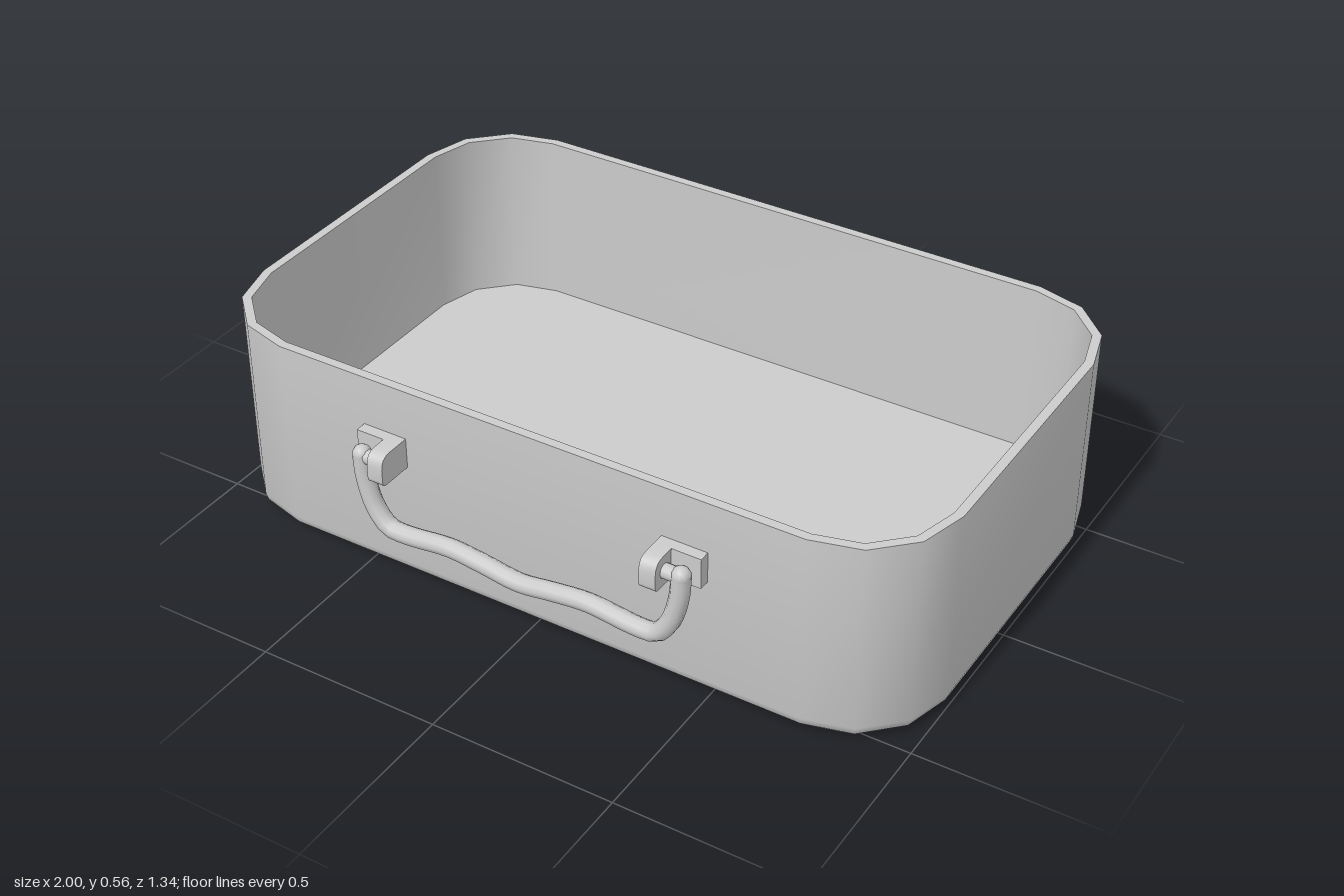
import * as THREE from 'three';
import { toCreasedNormals } from 'three/addons/utils/BufferGeometryUtils.js';

const material = new THREE.MeshStandardMaterial({ color: 0xcccccc });
const HEIGHT = 0.565, WALL = 0.025, FLOOR = 0.08, RADIUS = 0.26;
const FRONT = 0.57, CENTRE_Z = -0.05;

function addMesh(parent, geometry, name) {
  const mesh = new THREE.Mesh(geometry, material);
  mesh.name = name;
  parent.add(mesh);
  return mesh;
}

// Rounded rectangle with three facets per corner, shrunk by an inset
function outline(inset, y) {
  const points = [];
  const corners = [[1, 1], [-1, 1], [-1, -1], [1, -1]];
  corners.forEach(([sx, sz], c) => {
    for (let i = 0; i <= 3; i++) {
      const a = (c + i / 3) * Math.PI / 2, r = RADIUS - inset;
      points.push([sx * (1 - RADIUS) + r * Math.cos(a), y,
        CENTRE_Z + sz * (0.62 - RADIUS) + r * Math.sin(a)]);
    }
  });
  return points;
}

// Skin from the underside, up the outside, over the rim and down to the floor
function trayGeometry() {
  const rings = [[0.04, 0], [0.02, 0.006], [0.006, 0.02], [0, 0.04],
    [0, HEIGHT], [WALL, HEIGHT], [WALL, FLOOR]].map(([inset, y]) => outline(inset, y));
  const n = rings[0].length;
  const positions = rings.flat(2);
  const index = [];
  for (let r = 0; r < rings.length - 1; r++) {
    for (let i = 0; i < n; i++) {
      const a = r * n + i, b = r * n + (i + 1) % n;
      index.push(a, a + n, b, b, a + n, b + n);
    }
  }
  const under = positions.length / 3, floor = under + 1;
  positions.push(0, 0, CENTRE_Z, 0, FLOOR, CENTRE_Z);
  const last = (rings.length - 1) * n;
  for (let i = 0; i < n; i++) {
    const j = (i + 1) % n;
    index.push(under, i, j, floor, last + j, last + i);
  }
  const geometry = new THREE.BufferGeometry();
  geometry.setAttribute('position', new THREE.Float32BufferAttribute(positions, 3));
  geometry.setIndex(index);
  return toCreasedNormals(geometry, 0.75);
}

// Bracket arm: side profile (depth, height) with rounded front corners
function armGeometry(width) {
  const s = new THREE.Shape();
  s.moveTo(0, 0.34);
  s.lineTo(0.085, 0.34);
  s.quadraticCurveTo(0.1, 0.34, 0.1, 0.355);
  s.lineTo(0.1, 0.39);
  s.quadraticCurveTo(0.1, 0.425, 0.065, 0.425);
  s.lineTo(0, 0.425);
  const geometry = new THREE.ExtrudeGeometry(s, { depth: width, bevelEnabled: false, curveSegments: 4 });
  geometry.rotateY(-Math.PI / 2);
  return toCreasedNormals(geometry, 0.7);
}

export function createModel() {
  const model = new THREE.Group();
  model.name = 'tray';
  addMesh(model, trayGeometry(), 'trayBody');

  // Brackets with a pivot pin on each side of the handle
  const handleZ = 0.63;
  for (const side of [1, -1]) {
    const bracket = new THREE.Group();
    bracket.name = side > 0 ? 'leftBracket' : 'rightBracket';
    const plate = addMesh(bracket, new THREE.BoxGeometry(0.125, 0.085, 0.03), 'bracketPlate');
    plate.position.set(side * 0.4275, 0.3825, FRONT + 0.015);
    const arm = addMesh(bracket, armGeometry(0.045), 'bracketArm');
    arm.position.set(side > 0 ? 0.41 : -0.365, 0, FRONT);
    const pin = addMesh(bracket, new THREE.CylinderGeometry(0.02, 0.02, 0.05, 10), 'pivotPin');
    pin.rotation.z = Math.PI / 2;
    pin.position.set(side * 0.425, 0.382, handleZ);
    model.add(bracket);
  }

  // Swinging bail handle with a wavy grip
  const half = [[0.455, 0.385], [0.45, 0.32], [0.425, 0.235], [0.385, 0.188], [0.33, 0.184], [0.2, 0.197], [0.1, 0.187]];
  const path = [...half, [0, 0.174], ...half.map(([x, y]) => [-x, y]).reverse()];
  const curve = new THREE.CatmullRomCurve3(path.map(([x, y]) => new THREE.Vector3(x, y, handleZ)));
  const handle = new THREE.Group();
  handle.name = 'handle';
  addMesh(handle, new THREE.TubeGeometry(curve, 48, 0.025, 10), 'handleBail');
  for (const side of [1, -1]) {
    const cap = addMesh(handle, new THREE.SphereGeometry(0.025, 10, 8), 'handleEnd');
    cap.position.set(side * 0.455, 0.385, handleZ);
  }
  model.add(handle);
  return model;
}
